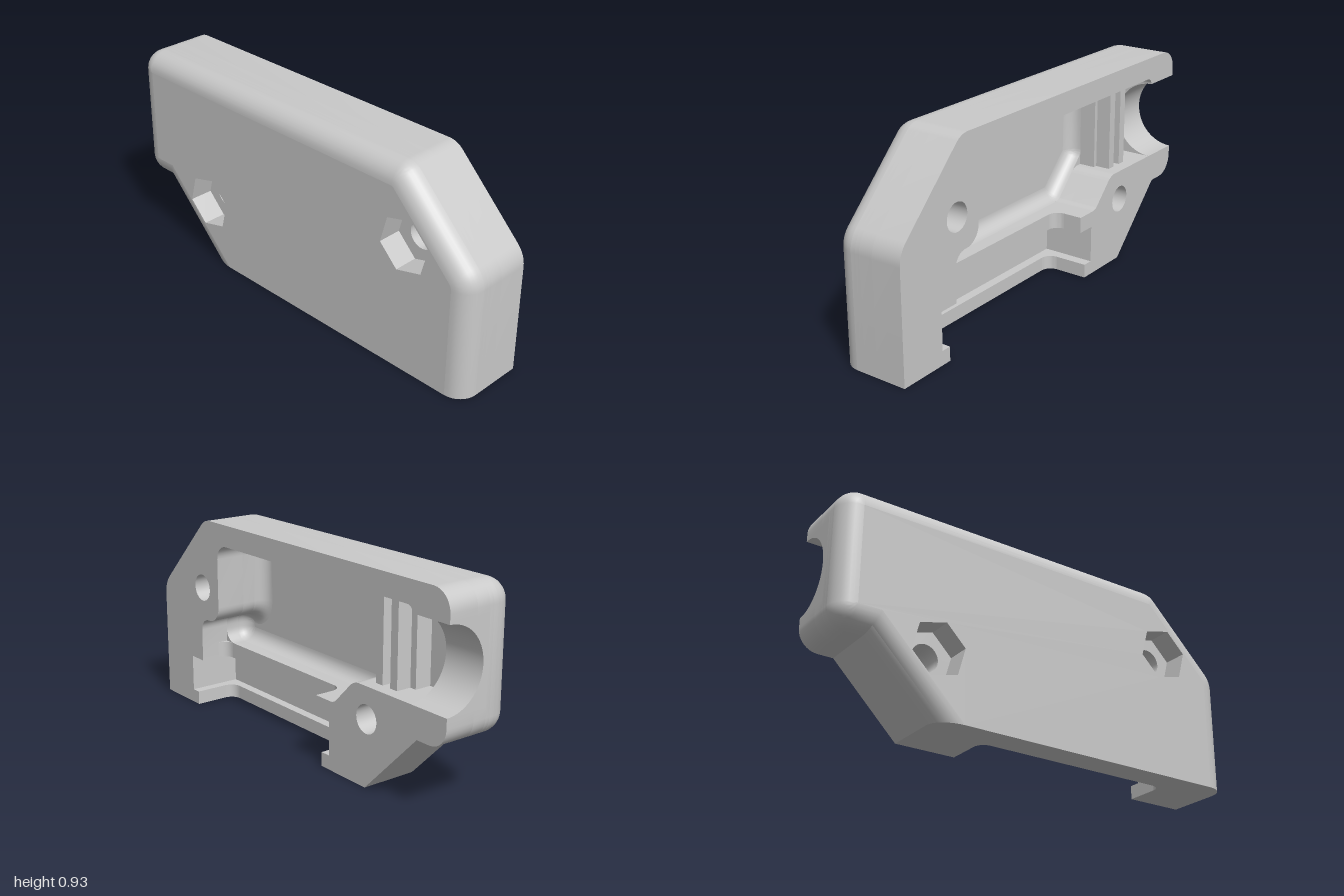
import * as THREE from 'three';
import { toCreasedNormals } from 'three/addons/utils/BufferGeometryUtils.js';

const BACK = -0.169, DEPTH = 0.338, EDGE = 0.09, SEG = 8;
// Depths of the inner steps, measured from the open back
const LEDGE = 0.14, SLOT = 0.205, NUT = 0.225, GROOVE = 0.248, FLOOR = 0.265;

// Rounded polygon from [x, y, radius] corners, moved inward by `inset`; edges on y = 0 stay put
function outline(corners, inset = 0) {
  const n = corners.length;
  const edges = corners.map((a, i) => {
    const b = corners[(i + 1) % n];
    const dir = new THREE.Vector2(b[0] - a[0], b[1] - a[1]).normalize();
    const move = a[1] === 0 && b[1] === 0 ? 0 : inset;
    return { dir, p: new THREE.Vector2(a[0] - dir.y * move, a[1] + dir.x * move) };
  });
  const pts = [];
  corners.forEach(([, , r = 0], i) => {
    const e = edges[(i + n - 1) % n], f = edges[i];
    const cross = e.dir.cross(f.dir);
    const t = f.p.clone().sub(e.p).cross(f.dir) / cross;
    const c = e.p.clone().addScaledVector(e.dir, t);
    if (!r) { pts.push(c); return; }
    const side = Math.sign(cross);
    const rad = Math.max(r - side * inset, 0.0005);
    const turn = Math.acos(THREE.MathUtils.clamp(e.dir.dot(f.dir), -1, 1));
    const start = c.clone().addScaledVector(e.dir, -rad * Math.tan(turn / 2));
    const centre = start.clone().add(new THREE.Vector2(-e.dir.y, e.dir.x).multiplyScalar(side * rad));
    const arm = start.clone().sub(centre);
    for (let k = 0; k <= SEG; k++) {
      const a = side * turn * k / SEG;
      pts.push(new THREE.Vector2(
        centre.x + arm.x * Math.cos(a) - arm.y * Math.sin(a),
        centre.y + arm.x * Math.sin(a) + arm.y * Math.cos(a)));
    }
  });
  return pts;
}

// Regular polygon, used for the bolt holes and nut pockets
function ring([x, y], r, sides, phase = 0) {
  return Array.from({ length: sides }, (_, i) => {
    const a = phase + i * 2 * Math.PI / sides;
    return new THREE.Vector2(x + r * Math.cos(a), y + r * Math.sin(a));
  });
}

// Slab between two depths measured from the open back
function slab(pts, holes, d0, d1) {
  const shape = new THREE.Shape(pts);
  shape.holes = holes.map(h => new THREE.Path(h));
  const geo = new THREE.ExtrudeGeometry(shape, { depth: d1 - d0, bevelEnabled: false });
  geo.translate(0, 0, BACK + d0);
  return toCreasedNormals(geo, 0.6);
}

// Quarter-round surface that follows an outline
function roundedRim(corners, d0, r, inward) {
  const pos = [], idx = [];
  let n = 0;
  for (let k = 0; k <= SEG; k++) {
    const a = k / SEG * Math.PI / 2;
    const loop = outline(corners, r * (1 - Math.cos(a)));
    n = loop.length;
    loop.forEach(p => pos.push(p.x, p.y, BACK + d0 + r * Math.sin(a)));
  }
  for (let k = 0; k < SEG; k++) for (let j = 0; j < n; j++) {
    const a = k * n + j, b = k * n + (j + 1) % n, c = b + n, d = a + n;
    if (inward) idx.push(a, c, b, a, d, c);
    else idx.push(a, b, c, a, c, d);
  }
  const geo = new THREE.BufferGeometry();
  geo.setAttribute('position', new THREE.Float32BufferAttribute(pos, 3));
  geo.setIndex(idx);
  return toCreasedNormals(geo, 0.6);
}

// Upright concave fillet in the end of a slot; side is +1 when the slot lies towards +x
function slotFillet(x, side, depth, y0, y1, r = 0.05) {
  const z = BACK + depth;
  const pts = [new THREE.Vector2(x, z)];
  for (let k = 0; k <= SEG; k++) {
    const a = k / SEG * Math.PI / 2;
    pts.push(new THREE.Vector2(x + side * r * (1 - Math.sin(a)), z - r * (1 - Math.cos(a))));
  }
  const geo = new THREE.ExtrudeGeometry(new THREE.Shape(pts), { depth: y1 - y0, bevelEnabled: false });
  geo.rotateX(Math.PI / 2).translate(0, y1, 0);
  return toCreasedNormals(geo, 0.6);
}

export function createModel() {
  const group = new THREE.Group();
  const grey = new THREE.MeshStandardMaterial({ color: 0xc9c9c9 });
  grey.name = 'grey plastic';
  const add = (name, geo) => {
    const mesh = new THREE.Mesh(geo, grey);
    mesh.name = name;
    group.add(mesh);
  };
  // Box on the cavity side, from x0 to x1 and between two depths
  const block = (name, x0, x1, d0, d1) => add(name,
    new THREE.BoxGeometry(x1 - x0, 0.39, d1 - d0).translate((x0 + x1) / 2, 0.635, BACK + (d0 + d1) / 2));

  // Outline pieces, all counter-clockwise
  const upper = [[1, 0], [1, 0.56, 0.13], [0.63, 0.93, 0.1], [-1, 0.93, 0.09]];
  const lower = [[-1, 0.305, 0.09], [-0.84, 0.305], [-0.535, 0]];
  const outer = [...upper, ...lower];
  const slotLeft = [[-0.25, 0], [-0.25, 0.064], [-0.3, 0.064], [-0.3, 0.236]];
  const slotRight = [[0.77, 0.236], [0.77, 0.064], [0.725, 0.064], [0.725, 0]];
  const cavityTop = [[-1, 0.8], [-0.8, 0.8], [-0.8, 0.83, 0.03], [0.53, 0.83, 0.07], [0.53, 0.45, 0.08], [0.677, 0.45, 0.06]];
  const cavityLow = [[-0.33, 0.31, 0.05], [-0.46, 0.44, 0.08], [-1, 0.44]];
  const deep = [[-0.33, 0.31, 0.06], [0.677, 0.31, 0.06], [0.677, 0.45, 0.06], [0.53, 0.45, 0.08],
    [0.53, 0.83, 0.06], [-0.51, 0.83, 0.06], [-0.51, 0.49, 0.06]];
  const groove = outline([[-0.3, 0.064], [0.77, 0.064], [0.77, 0.236], [-0.3, 0.236]]);

  // Bolt holes and hexagonal nut pockets
  const bolts = [[0.663, 0.6], [-0.54, 0.3]];
  const holes = bolts.map(b => ring(b, 0.063, 32));
  const nuts = bolts.map(b => ring(b, 0.13, 6, Math.PI / 12));

  // Open back rim: frame with one boss, and the separate lower boss
  add('rimFrame', slab(outline([...upper, ...cavityTop, [0.677, 0.236], ...slotRight]), [holes[0]], 0, LEDGE));
  add('rimLowerBoss', slab(outline([...lower, ...slotLeft, [-0.21, 0.236], [-0.21, 0.31], ...cavityLow]), [holes[1]], 0, LEDGE));

  // Middle layers: ledge above the groove, then the deep cavity
  add('ledgeLayer', slab(outline([...upper, ...cavityTop, [0.677, 0.31, 0.06], ...cavityLow,
    ...lower, ...slotLeft, ...slotRight]), holes, LEDGE, SLOT));
  const body = outline(outer), pocket = outline(deep);
  add('boltLayer', slab(body, [...holes, groove, pocket], SLOT, NUT));
  add('nutLayer', slab(body, [...nuts, groove, pocket], NUT, GROOVE));

  // Front wall with its rounded edge
  const front = outline(outer, EDGE);
  add('cavityFloorLayer', slab(front, [...nuts, pocket], GROOVE, FLOOR));
  add('frontWall', slab(front, nuts, FLOOR, DEPTH));
  add('roundedFrontEdge', roundedRim(outer, DEPTH - EDGE, EDGE, false));
  add('cavityFillet', roundedRim(deep, SLOT, FLOOR - SLOT, true));

  // Rounded ends of the ledge and of the bottom slot
  add('ledgeFillet', slotFillet(-0.21, 1, LEDGE, 0.236, 0.31));
  add('ledgeFillet', slotFillet(0.677, -1, LEDGE, 0.236, 0.31));
  add('slotFillet', slotFillet(-0.25, 1, SLOT, 0, 0.064));
  add('slotFillet', slotFillet(0.725, -1, SLOT, 0, 0.064));

  // End wall with a half-round cable opening
  const arch = [];
  for (let i = 0; i <= 32; i++) {
    const a = i / 32 * Math.PI;
    arch.push(new THREE.Vector2(-BACK - 0.18 * Math.sin(a), 0.62 + 0.18 * Math.cos(a)));
  }
  arch.push(new THREE.Vector2(-BACK - SLOT, 0.44), new THREE.Vector2(-BACK - SLOT, 0.8));
  const endWall = new THREE.ExtrudeGeometry(new THREE.Shape(arch), { depth: 0.2, bevelEnabled: false });
  endWall.rotateY(Math.PI / 2).translate(-1, 0, 0);
  add('cableOpening', toCreasedNormals(endWall, 0.6));

  // Raised step with a pair of upright ribs beside the cable opening
  block('ribStep', -0.69, -0.51, 0.127, SLOT);
  for (const x of [-0.571, -0.658]) block('rib', x, x + 0.041, 0.057, 0.127);
  return group;
}
